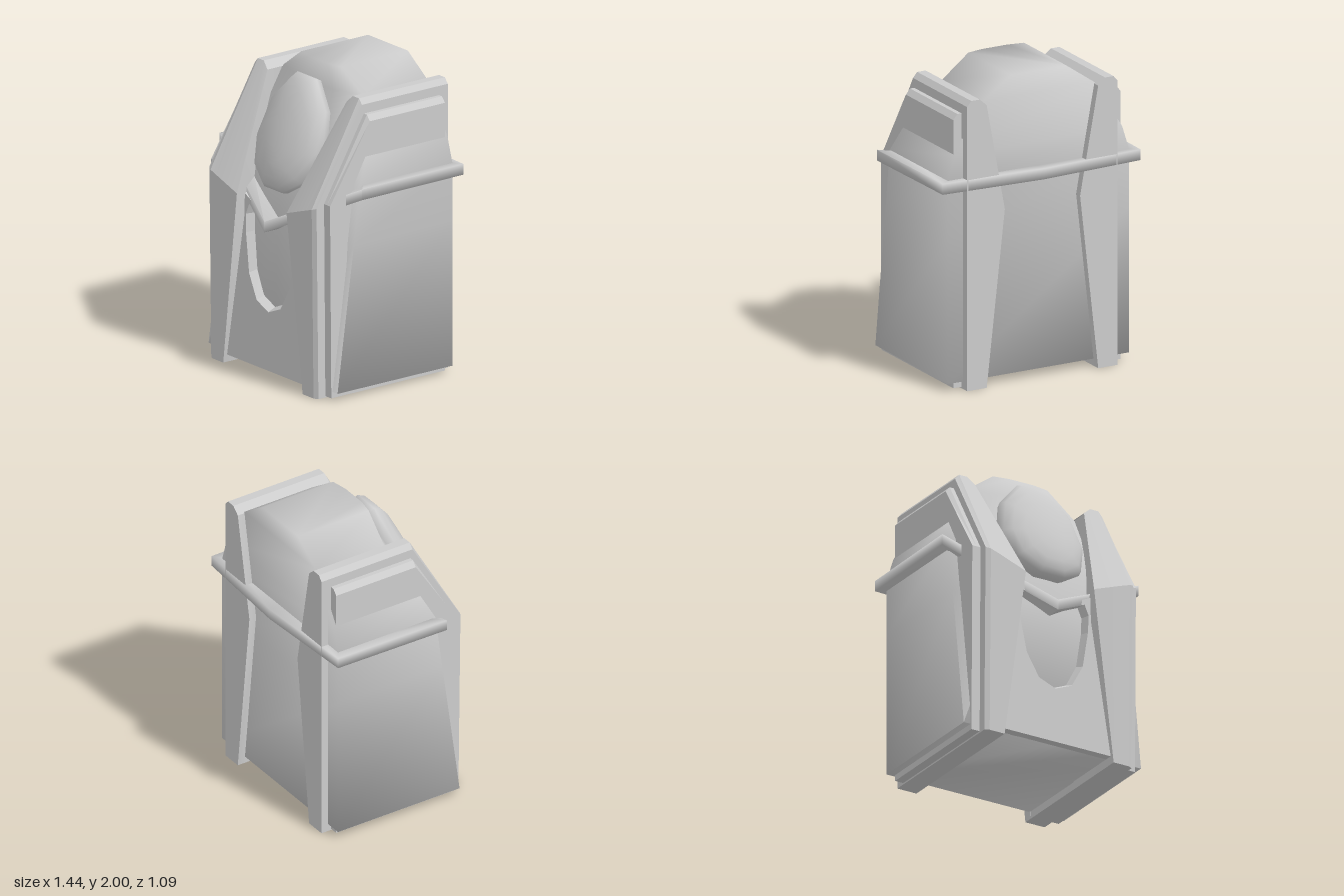
import * as THREE from 'three';
import { toCreasedNormals } from 'three/addons/utils/BufferGeometryUtils.js';

const material = new THREE.MeshStandardMaterial({ color: 0xcccccc });

// Skin a row of equal-length rings of [x, y, z]; ends are capped unless the row is closed.
function loft(rings, crease, closed = false) {
  const n = rings[0].length;
  const tris = [];
  const steps = closed ? rings.length : rings.length - 1;
  for (let i = 0; i < steps; i++) {
    const a = rings[i], b = rings[(i + 1) % rings.length];
    for (let j = 0; j < n; j++) {
      const k = (j + 1) % n;
      tris.push([a[j], b[j], b[k]], [a[j], b[k], a[k]]);
    }
  }
  if (!closed) {
    const first = rings[0], last = rings[rings.length - 1];
    for (let j = 1; j < n - 1; j++) {
      tris.push([first[0], first[j], first[j + 1]], [last[0], last[j + 1], last[j]]);
    }
  }
  // The signed volume tells whether the faces point outward
  let volume = 0;
  for (const t of tris) {
    const [a, b, c] = t.map((p) => new THREE.Vector3(...p));
    volume += a.dot(b.cross(c));
  }
  if (volume < 0) tris.forEach((t) => t.reverse());
  const geometry = new THREE.BufferGeometry();
  geometry.setAttribute('position', new THREE.Float32BufferAttribute(tris.flat(2), 3));
  geometry.computeVertexNormals();
  return toCreasedNormals(geometry, crease);
}

function add(group, name, geometry) {
  const mesh = new THREE.Mesh(geometry, material);
  mesh.name = name;
  group.add(mesh);
  return mesh;
}

const mirror = (rings, side) => rings.map((r) => r.map(([x, y, z]) => [x * side, y, z]));

// Main body and arched roof: height, half width, front z at edge, middle and centre
function bodyGeometry() {
  const rows = [
    [0.05, 0.65, 0.45, 0.45, 0.45],
    [1.0, 0.65, 0.32, 0.40, 0.41],
    [1.38, 0.65, 0.27, 0.32, 0.34],
    [1.54, 0.60, 0.19, 0.25, 0.28],
    [1.86, 0.40, 0.05, 0.12, 0.14],
    [2.0, 0.20, 0.07, 0.09, 0.09],
  ];
  return loft(rows.map(([y, w, edge, mid, centre]) => [
    [-w, y, -0.46], [-w, y, edge], [-w * 0.45, y, mid], [0, y, centre],
    [w * 0.45, y, mid], [w, y, edge], [w, y, -0.46],
  ]), 1.7);
}

// Front panel with a rounded, tapering recess, leaning back slightly
function frontPanelGeometry() {
  const points = (list) => list.map(([x, y]) => new THREE.Vector2(x, y));
  const shape = new THREE.Shape(points([
    [-0.45, 0.05], [0.45, 0.05], [0.3, 1.14], [0, 1.0], [-0.3, 1.14],
  ]));
  const half = [[0.12, 0.475], [0.205, 0.63], [0.25, 0.88], [0.258, 1.0], [0.23, 1.07]];
  shape.holes.push(new THREE.Path(points([
    [0, 0.425], ...half, [0, 0.97], ...half.map(([x, y]) => [-x, y]).reverse(),
  ])));
  const geometry = new THREE.ExtrudeGeometry(shape, { depth: 0.06, bevelEnabled: false });
  const p = geometry.attributes.position;
  for (let i = 0; i < p.count; i++) {
    const x = p.getX(i), y = p.getY(i), z = p.getZ(i);
    // The back rim of the recess is smaller than its front rim
    if (z < 0.01 && y > 0.1 && Math.abs(x) < 0.26) {
      p.setX(i, x * 0.94);
      p.setY(i, y + 0.045 * (1.0 - y));
    }
    p.setZ(i, z + 0.445 + (0.05 - y) * 0.045);
  }
  geometry.computeVertexNormals();
  return geometry;
}

// Tall rib: its front and back swell inward at band height, its top edges are chamfered
function ribRings() {
  const ring = (xs, mid, top, back, front, inset = 0) => [
    [xs[0], 0, back], [xs[1], 0, front[0] - inset], [xs[2], mid, front[1] - inset],
    [xs[3], top, front[2]], [xs[4], top, back], [xs[5], 1.15, back],
  ];
  const flat = (x) => Array(6).fill(x);
  const front = [0.53, 0.545, 0.17];
  return [
    ring([0.4, 0.4, 0.4, 0.41, 0.4, 0.27], 1.15, 1.85, -0.45, [0.05, 0.05, 0.03]),
    ring([0.4, 0.4, 0.25, 0.4, 0.4, 0.27], 1.15, 1.85, -0.51, [0.53, 0.54, 0.18]),
    ring(flat(0.45), 1.22, 1.895, -0.51, front),
    ring(flat(0.51), 1.24, 1.895, -0.51, front),
    ring(flat(0.54), 1.25, 1.86, -0.51, front, 0.015),
  ];
}

// Thinner slab on the outside of each rib
function slabRings() {
  return [[0.52, 1.8], [0.57, 1.8], [0.6, 1.765]].map(([x, top]) => [
    [x, 0.01, -0.44], [x, 0.01, 0.46], [x, 1.27, 0.47], [x, top, 0.155], [x, top, -0.44],
  ]);
}

// Band around the body, dipping to a point at the front
function bandGeometry() {
  const section = (y, outer, inner) => [
    [inner[0], y + 0.035, inner[1]], [outer[0], y + 0.035, outer[1]],
    [outer[0], y - 0.035, outer[1]], [inner[0], y - 0.035, inner[1]],
  ];
  const right = [
    section(1.345, [0.72, 0.31], [0.6, 0.2]),
    section(1.345, [0.71, -0.5], [0.6, -0.42]),
  ];
  const left = mirror(right, -1).reverse();
  return loft([
    section(0.99, [0, 0.52], [0, 0.36]), ...right,
    section(1.345, [0, -0.54], [0, -0.42]), ...left,
  ], 1.7, true);
}

// Egg with a ten-sided outline, heavier below and leaning back with the roof front
function eggGeometry() {
  const geometry = new THREE.SphereGeometry(1, 10, 10);
  geometry.rotateX(Math.PI / 2);
  geometry.scale(0.305, 0.373, 0.152);
  const p = geometry.attributes.position;
  for (let i = 0; i < p.count; i++) {
    const y = p.getY(i);
    p.setZ(i, p.getZ(i) - 0.32 * y);
    p.setY(i, y - 0.06 * (1 - (y / 0.355) ** 2));
  }
  geometry.deleteAttribute('uv');
  return toCreasedNormals(geometry, 1.2);
}

export function createModel() {
  const model = new THREE.Group();
  model.name = 'domedTower';
  add(model, 'body', bodyGeometry());
  add(model, 'frontPanel', frontPanelGeometry());
  add(model, 'band', bandGeometry());
  add(model, 'frontEgg', eggGeometry()).position.set(0, 1.565, 0.295);
  for (const [label, side] of [['left', 1], ['right', -1]]) {
    add(model, label + 'Rib', loft(mirror(ribRings(), side), 0.35));
    add(model, label + 'OuterSlab', loft(mirror(slabRings(), side), 0.1));
  }
  return model;
}
